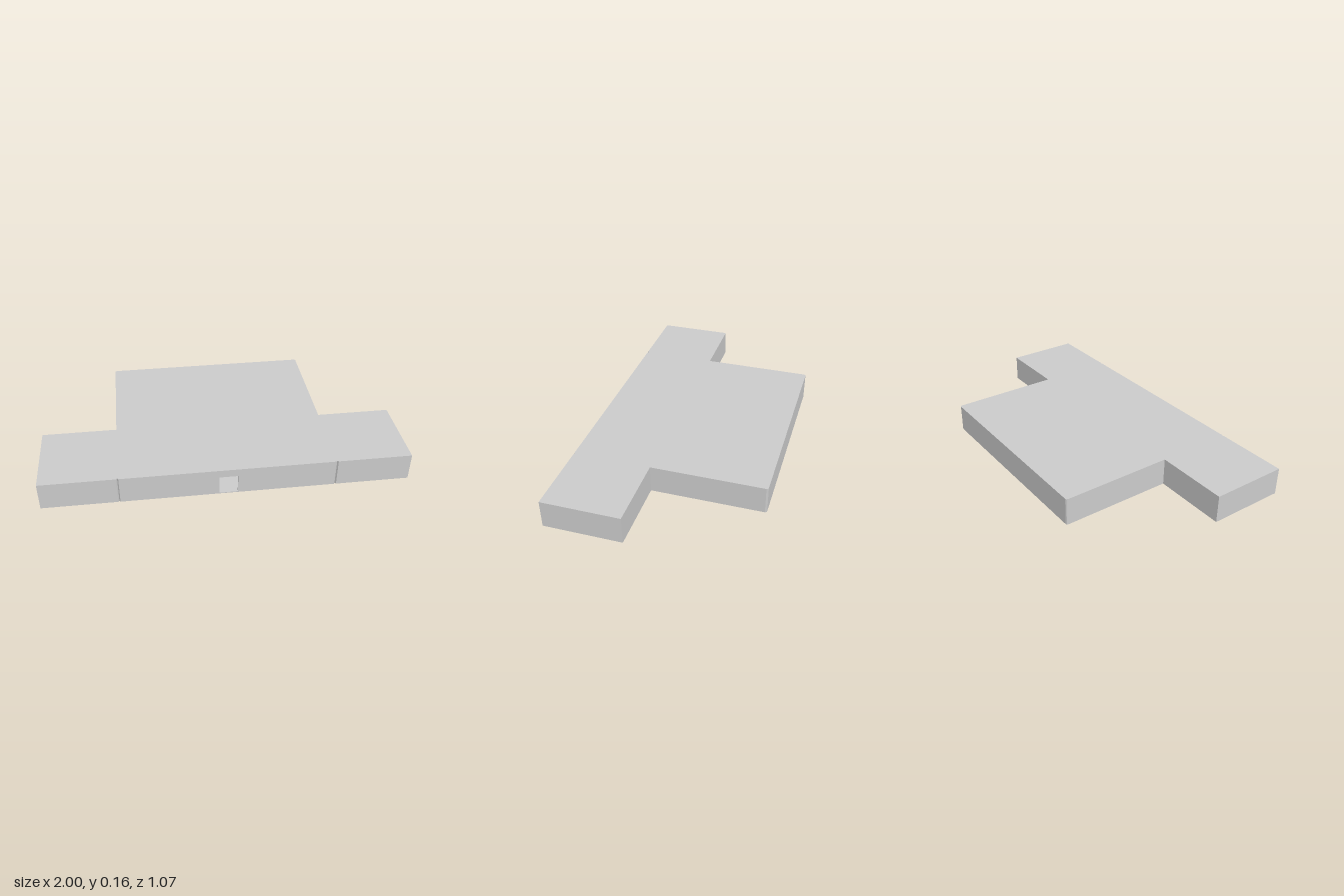
import * as THREE from 'three';

const H = 0.157, FLOOR = 0.005, ROOF = 0.006, WALL = 0.012;
const FRONT = 0.534, BACK = -0.534, WING_BACK = 0.1;
const HALL = 0.587, DOOR = 0.05, DOOR_TOP = 0.112, CUT = 0.01;

const grey = new THREE.MeshStandardMaterial({ color: 0xcccccc, flatShading: true });

// Half of the T-shaped outline as [x, z], from the doorway round to the back
const outerHalf = [
  [DOOR, FRONT], [HALL - 0.006, FRONT], [HALL, FRONT - 0.008], [HALL + 0.006, FRONT],
  [1, FRONT], [1, WING_BACK], [HALL, WING_BACK],
  [HALL, BACK + CUT], [HALL - 0.003, BACK + 0.003], [HALL - CUT, BACK],
];
const innerHalf = [
  [DOOR, FRONT - WALL], [1 - WALL, FRONT - WALL], [1 - WALL, WING_BACK + WALL],
  [HALL - WALL, WING_BACK + WALL], [HALL - WALL, BACK + WALL],
];

const mirrored = (half) => [...half, ...half.map(([x, z]) => [-x, z]).reverse()];

// Extrudes a plan of [x, z] points upward from y
function slab(name, points, y, height) {
  const shape = new THREE.Shape(points.map(([x, z]) => new THREE.Vector2(x, -z)));
  const geo = new THREE.ExtrudeGeometry(shape, { depth: height, bevelEnabled: false });
  geo.rotateX(-Math.PI / 2).translate(0, y, 0);
  const mesh = new THREE.Mesh(geo, grey);
  mesh.name = name;
  return mesh;
}

function box(name, w, h, d, x, y, z) {
  const mesh = new THREE.Mesh(new THREE.BoxGeometry(w, h, d), grey);
  mesh.name = name;
  mesh.position.set(x, y, z);
  return mesh;
}

// Small table with a raised, slightly narrower top, seen through the doorway
function createTable() {
  const table = new THREE.Group();
  table.name = 'table';
  table.add(box('tableFrame', 0.1, 0.012, 0.05, 0, 0.036, 0));
  table.add(box('tableBody', 0.094, 0.012, 0.044, 0, 0.048, 0));
  table.add(box('tableTop', 0.086, 0.006, 0.038, 0, 0.057, 0));
  for (const x of [-0.038, 0.038])
    for (const z of [-0.019, 0.019])
      table.add(box('tableLeg', 0.008, 0.03 - FLOOR, 0.008, x, (0.03 + FLOOR) / 2, z));
  table.position.z = 0.19;
  return table;
}

export function createModel() {
  const model = new THREE.Group();
  model.name = 'building';

  const outer = mirrored(outerHalf);
  const inner = mirrored(innerHalf).reverse();
  model.add(slab('floor', outer, 0, FLOOR));
  model.add(slab('roof', outer, H - ROOF, ROOF));

  // Continuous wall, open only at the doorway
  model.add(slab('walls', [...outer, ...inner], FLOOR, H - ROOF - FLOOR));

  // Wall above the doorway
  const top = H - ROOF;
  model.add(box('doorLintel', DOOR * 2, top - DOOR_TOP, WALL,
    0, (top + DOOR_TOP) / 2, FRONT - WALL / 2));

  model.add(createTable());
  return model;
}
